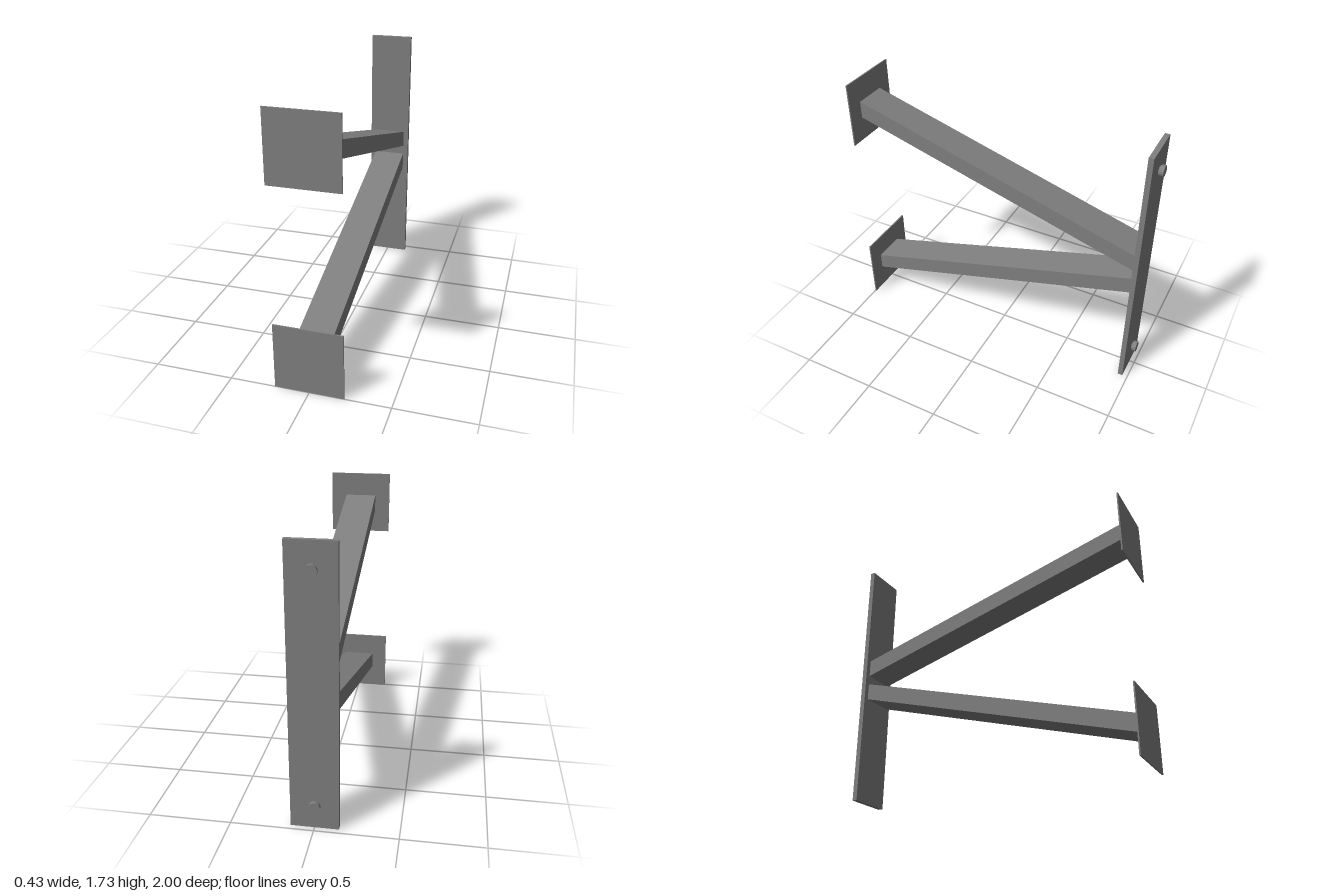
import * as THREE from 'three';

const HEIGHT = 1.73;

export function createModel() {
  const group = new THREE.Group();
  const material = new THREE.MeshStandardMaterial({ color: 0x808080, flatShading: true });

  const add = (name, geometry, x, y, z) => {
    const mesh = new THREE.Mesh(geometry, material);
    mesh.name = name;
    mesh.position.set(x, y, z);
    group.add(mesh);
  };

  // Long mounting plate at the back
  add('backPlate', new THREE.BoxGeometry(0.288, HEIGHT, 0.032), -0.001, HEIGHT / 2, -0.95);

  // Sloping bar: a parallelogram side profile (z, y) extruded across x
  const barGeometry = (yBack, yFront) => {
    const half = 0.057, back = -0.936, front = 0.995, width = 0.218;
    const profile = new THREE.Shape([
      new THREE.Vector2(-back, yBack - half),
      new THREE.Vector2(-back, yBack + half),
      new THREE.Vector2(-front, yFront + half),
      new THREE.Vector2(-front, yFront - half),
    ]);
    const geometry = new THREE.ExtrudeGeometry(profile, { depth: width, bevelEnabled: false });
    return geometry.translate(0, 0, -width / 2).rotateY(Math.PI / 2);
  };

  // Bolt head, rounded towards the plate
  const boltGeometry = new THREE.LatheGeometry([
    new THREE.Vector2(0, 0),
    new THREE.Vector2(0.022, 0),
    new THREE.Vector2(0.031, 0.006),
    new THREE.Vector2(0.035, 0.014),
    new THREE.Vector2(0.035, 0.034),
    new THREE.Vector2(0, 0.034),
  ], 20).rotateX(-Math.PI / 2);

  // Upper and lower arms mirror each other about mid height
  for (const [side, flip] of [['lower', (y) => y], ['upper', (y) => HEIGHT - y]]) {
    add(`${side}Bar`, barGeometry(flip(0.777), flip(0.217)), -0.001, 0, 0);
    add(`${side}FrontPlate`, new THREE.BoxGeometry(0.43, 0.432, 0.009), 0, flip(0.216), 0.9955);
    add(`${side}Bolt`, boltGeometry, -0.005, flip(0.155), -0.966);
  }

  return group;
}
